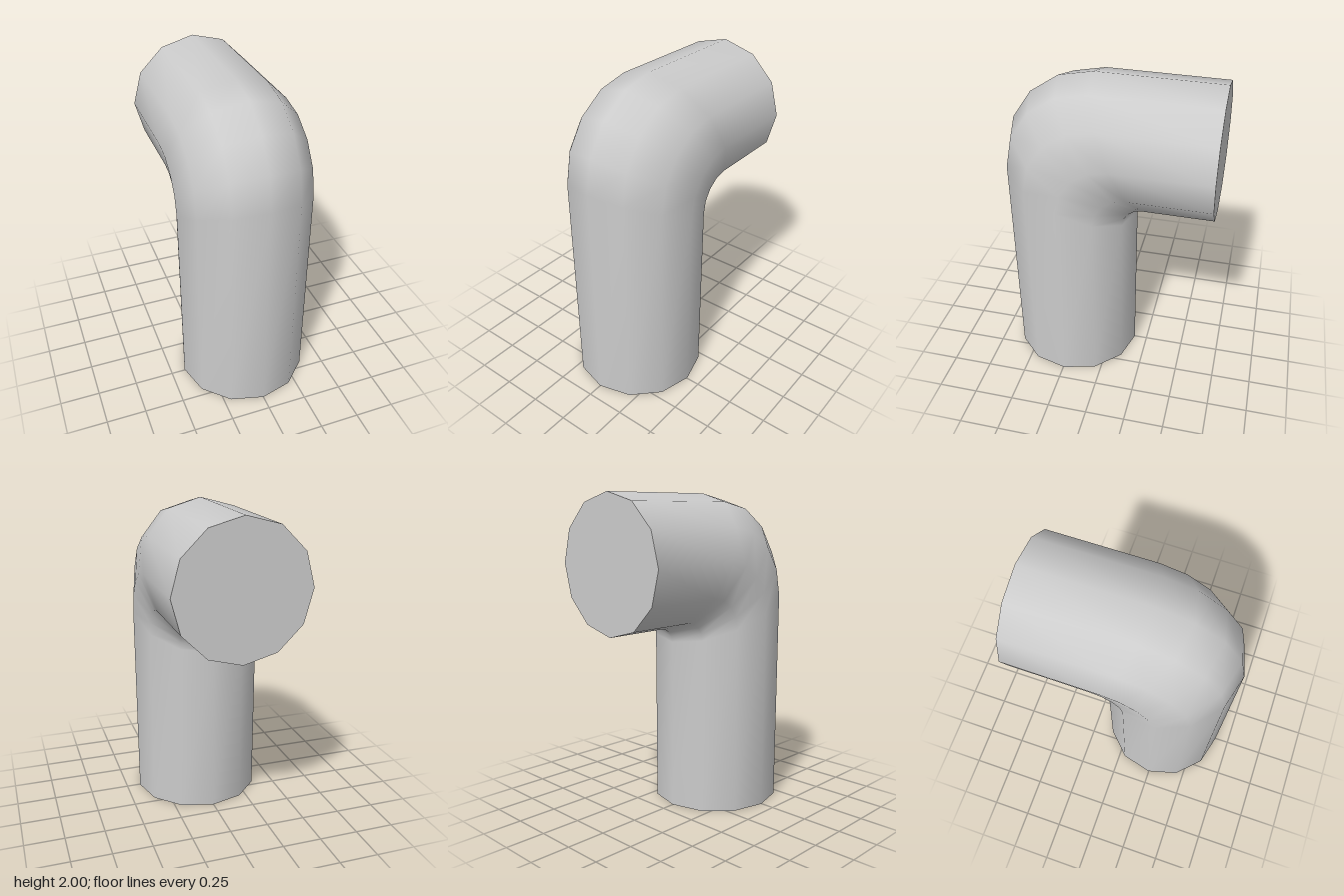
import * as THREE from 'three';

const SIDES = 12;      // facets around the pipe
const STEPS = 4;       // segments through the bend
const R = 0.413;       // pipe radius
const LEG_Z = 0.25;    // axis of the upright leg
const ARM_Y = 1.585;   // axis of the horizontal arm
const foot = { z: 0.245, r: 0.41 };
const mouth = { y: 1.58, z: -0.663, r: 0.411 };

// Rings of the pipe wall: foot, rounded elbow, mouth
function pipeWall() {
  const positions = [], index = [];
  for (let i = 0; i <= STEPS + 2; i++) {
    for (let j = 0; j < SIDES; j++) {
      const a = (j / SIDES) * Math.PI * 2;
      const s = Math.sin(a), c = Math.cos(a);
      if (i === 0) positions.push(foot.r * s, 0, foot.z + foot.r * c);
      else if (i === STEPS + 2) positions.push(mouth.r * s, mouth.y + mouth.r * c, mouth.z);
      else {
        // the bend is wide on the outside and tight on the inside
        const bend = 0.32 + 0.23 * c;
        const phi = ((i - 1) / STEPS) * Math.PI / 2;
        positions.push(
          R * s,
          ARM_Y + R * c - bend * (1 - Math.sin(phi)),
          LEG_Z + R * c - bend * (1 - Math.cos(phi))
        );
      }
    }
  }
  for (let i = 0; i < STEPS + 2; i++) {
    for (let j = 0; j < SIDES; j++) {
      const k = (j + 1) % SIDES;
      const p = i * SIDES + j, q = i * SIDES + k;
      index.push(p, q, q + SIDES, p, q + SIDES, p + SIDES);
    }
  }
  const geo = new THREE.BufferGeometry();
  geo.setAttribute('position', new THREE.Float32BufferAttribute(positions, 3));
  geo.setIndex(index);
  geo.computeVertexNormals();
  return geo;
}

export function createModel() {
  const group = new THREE.Group();
  group.name = 'elbowPipe';
  const material = new THREE.MeshStandardMaterial({ color: 0xcccccc });
  const add = (name, geo) => {
    const mesh = new THREE.Mesh(geo, material);
    mesh.name = name;
    group.add(mesh);
    return mesh;
  };

  add('pipeWall', pipeWall());

  // Flat end caps
  const bottom = add('bottomCap', new THREE.CircleGeometry(foot.r, SIDES));
  bottom.rotation.x = Math.PI / 2;
  bottom.position.z = foot.z;

  const back = add('backCap', new THREE.CircleGeometry(mouth.r, SIDES));
  back.rotation.y = Math.PI;
  back.position.set(0, mouth.y, mouth.z);

  return group;
}
